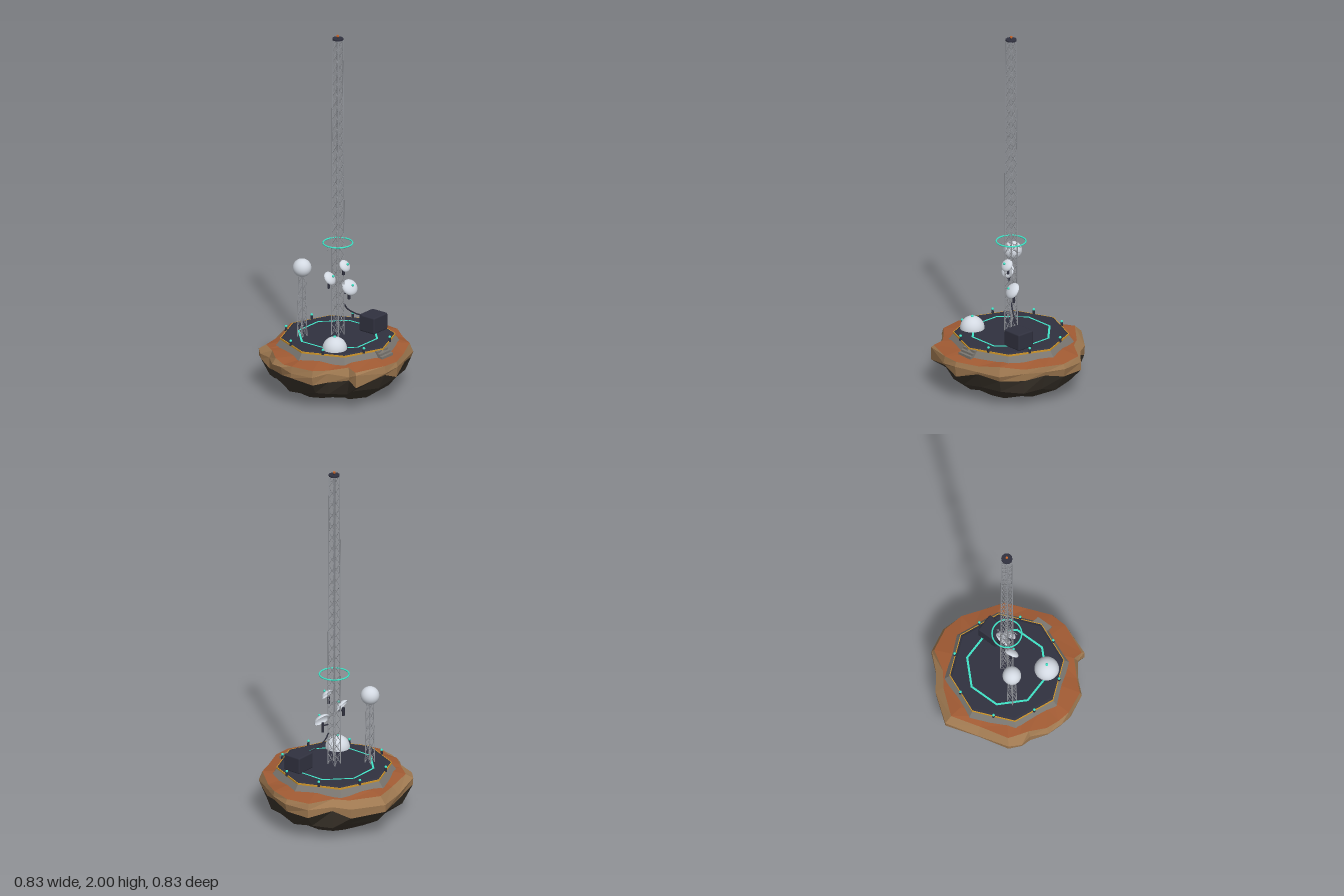
import * as THREE from 'three';
import { mergeGeometries, toCreasedNormals } from 'three/addons/utils/BufferGeometryUtils.js';
import { RoundedBoxGeometry } from 'three/addons/geometries/RoundedBoxGeometry.js';

const paint = (name, color, side = THREE.FrontSide) => {
  const m = new THREE.MeshStandardMaterial({ color, side });
  m.name = name;
  return m;
};
const V = (x, y, z) => new THREE.Vector3(x, y, z);

export function createModel() {
  const rust = paint('rust soil', 0xa05a33);
  const tan = paint('tan rock', 0x9e7850);
  const rock = paint('dark rock', 0x3b342b);
  const concrete = paint('concrete', 0x7b7771);
  const dark = paint('dark deck', 0x30313f);
  const yellow = paint('yellow trim', 0xd0962a);
  const teal = paint('teal light', 0x3fe3c6);
  const white = paint('white shell', 0xd3d9e2, THREE.DoubleSide);
  const steel = paint('steel', 0x96999f);
  const orange = paint('orange beacon', 0xd0692c);

  const model = new THREE.Group();
  const station = new THREE.Group();
  station.name = 'station';
  station.position.set(-0.005, 0, 0.005);
  model.add(station);

  const add = (name, geo, mat, x = 0, y = 0, z = 0, parent = station) => {
    const mesh = new THREE.Mesh(geo, mat);
    mesh.name = name;
    mesh.position.set(x, y, z);
    parent.add(mesh);
    return mesh;
  };

  // Floating rock: one outline scaled into faceted rings
  let seed = 11;
  const noise = () => {
    seed = (seed * 16807) % 2147483647;
    return (seed / 2147483647) * 2 - 1;
  };
  const outline = [
    [0.086, -0.42], [0.236, -0.307], [0.293, -0.224], [0.39, -0.135], [0.414, 0], [0.38, 0.11],
    [0.318, 0.204], [0.244, 0.32], [0.12, 0.365], [-0.005, 0.412], [-0.1, 0.407], [-0.27, 0.34],
    [-0.264, 0.289], [-0.334, 0.2], [-0.4, 0.144], [-0.418, 0.015], [-0.416, -0.057],
    [-0.39, -0.135], [-0.32, -0.21], [-0.316, -0.276], [-0.264, -0.327], [-0.09, -0.37],
  ];
  // height, scale, radial noise, height noise
  const levels = [
    [0.252, 0, 0, 0], [0.252, 0.74, 0, 0], [0.236, 0.965, 0.02, 0.012], [0.205, 1, 0, 0.015],
    [0.165, 0.985, 0.02, 0.022], [0.08, 0.85, 0.04, 0.02], [0.018, 0.6, 0.03, 0.008],
    [0, 0.4, 0.03, 0], [0, 0, 0, 0],
  ];
  const rings = levels.map(([y, f, rn, yn], k) => outline.map(([x, z]) => {
    let s = f + noise() * rn;
    // the soil draws back along the rear edge
    if (k === 2 && (z < -0.26 || (x > 0.2 && z < -0.2))) s -= 0.08;
    // lower rings even out towards a round belly
    const r = Math.hypot(x, z);
    if (k > 4) s *= THREE.MathUtils.lerp(1, 0.41 / r, 0.6);
    return [x * s, y + noise() * yn, z * s];
  }));
  const band = (name, mat, from, to) => {
    const p = [];
    for (let k = from; k < to; k++) {
      for (let i = 0; i < outline.length; i++) {
        const j = (i + 1) % outline.length;
        const a = rings[k], b = rings[k + 1];
        p.push(...a[i], ...a[j], ...b[j], ...a[i], ...b[j], ...b[i]);
      }
    }
    const geo = new THREE.BufferGeometry();
    geo.setAttribute('position', new THREE.Float32BufferAttribute(p, 3));
    geo.computeVertexNormals();
    add(name, geo, mat, 0, 0, 0, model);
  };
  band('rockTop', rust, 0, 2);
  band('rockRim', tan, 2, 4);
  band('rockBelly', rock, 4, 8);

  // Octagonal platform
  const slab = (name, mat, rTop, rBottom, y0, y1) => add(name, toCreasedNormals(
    new THREE.CylinderGeometry(rTop, rBottom, y1 - y0, 8), 0.1), mat, 0, (y0 + y1) / 2, 0);
  slab('foundation', concrete, 0.308, 0.335, 0.243, 0.279);
  slab('platformTrim', yellow, 0.309, 0.309, 0.279, 0.288);
  slab('deckBevel', dark, 0.291, 0.304, 0.288, 0.293);
  const marking = new THREE.RingGeometry(0.212, 0.224, 8, 1, Math.PI / 8).rotateX(-Math.PI / 2);
  add('deckMarking', marking, teal, 0, 0.2945, 0);

  // Front steps
  for (let i = 0; i < 3; i++) {
    const h = 0.015 + i * 0.012, front = 0.338 - i * 0.016;
    add('step', new THREE.BoxGeometry(0.092, h, front - 0.28), concrete, 0, 0.243 + h / 2, (front + 0.28) / 2);
  }

  // Edge lamps
  for (let i = 0; i < 8; i++) {
    const a = (i + 0.5) * Math.PI / 4, x = Math.sin(a) * 0.287, z = Math.cos(a) * 0.287;
    add('lampPost', new THREE.CylinderGeometry(0.006, 0.007, 0.026, 8), dark, x, 0.297, z);
    add('lamp', new THREE.SphereGeometry(0.0075, 12, 8), teal, x, 0.311, z);
  }

  // Lattice towers
  const strut = (a, b, r, sides = 4) => {
    const d = b.clone().sub(a);
    const q = new THREE.Quaternion().setFromUnitVectors(V(0, 1, 0), d.clone().normalize());
    return new THREE.CylinderGeometry(r, r, d.length(), sides)
      .applyQuaternion(q).translate((a.x + b.x) / 2, (a.y + b.y) / 2, (a.z + b.z) / 2);
  };
  const lattice = (name, x, z, y0, y1, w0, w1, bays, rLeg, rBrace) => {
    const parts = [];
    const corner = (i, t) => {
      const w = THREE.MathUtils.lerp(w0, w1, t);
      return V([1, 1, -1, -1][i % 4] * w, THREE.MathUtils.lerp(y0, y1, t), [1, -1, -1, 1][i % 4] * w);
    };
    for (let i = 0; i < 4; i++) {
      parts.push(strut(corner(i, 0), corner(i, 1), rLeg, 6));
      for (let k = 0; k < bays; k++) {
        const t = k / bays, u = (k + 1) / bays;
        parts.push(strut(corner(i, t), corner(i + 1, u), rBrace));
        parts.push(strut(corner(i + 1, t), corner(i, u), rBrace));
      }
    }
    add(name, mergeGeometries(parts), steel, x, 0, z);
  };
  lattice('mast', 0, 0, 0.293, 1.975, 0.024, 0.02, 26, 0.0032, 0.0013);
  lattice('radomeTower', -0.135, -0.135, 0.293, 0.65, 0.018, 0.013, 6, 0.0025, 0.0013);

  // Mast head
  add('mastPlate', toCreasedNormals(new THREE.CylinderGeometry(0.03, 0.03, 0.008, 12), 0.6), dark, 0, 1.979, 0);
  add('beaconPost', new THREE.CylinderGeometry(0.005, 0.005, 0.008, 8), dark, 0, 1.986, 0);
  add('beacon', new THREE.BoxGeometry(0.01, 0.01, 0.01), orange, 0, 1.995, 0);

  // Glowing halo around the mast
  add('haloRing', new THREE.TorusGeometry(0.079, 0.0043, 8, 64).rotateX(Math.PI / 2), teal, 0, 0.817, 0);

  // Comb antennas
  const combs = [
    [V(-0.055, 0.785, -0.03), V(0.043, 0.785, -0.03)],
    [V(-0.045, 0.8, 0.032), V(0.03, 0.8, 0.032)],
    [V(0.02, 0.77, 0), V(0.066, 0.77, 0)],
  ];
  for (const [a, b] of combs) {
    const parts = [strut(a, b, 0.0022)];
    for (let i = 0; i < 3; i++) {
      const c = a.clone().lerp(b, (i + 0.5) / 3), h = V(0, 0, 0.007);
      parts.push(strut(c.clone().sub(h), c.clone().add(h), 0.0013));
    }
    add('combAntenna', mergeGeometries(parts), steel);
  }

  // Tilted dishes with a feed light, a hanging motor and an arm to the mast
  const dishes = [[0.01, 0.695, 0.045, 0.035, 0], [-0.045, 0.628, -0.012, 0.039, 0.1], [0.052, 0.562, 0.046, 0.046, -0.25]];
  for (const [x, y, z, r, turn] of dishes) {
    const dish = new THREE.Group();
    dish.name = 'dish';
    dish.position.set(x, y, z);
    dish.rotation.set(0.92, turn, 0, 'YXZ');
    station.add(dish);
    const shell = new THREE.SphereGeometry(r, 28, 10, 0, Math.PI * 2, 0, Math.PI / 2).scale(1, 0.55, 1);
    add('dishShell', shell, white, 0, -r * 0.25, 0, dish);
    add('feedStem', new THREE.CylinderGeometry(0.002, 0.002, r * 0.3, 6), steel, 0, r * 0.4, 0, dish);
    add('dishFeed', new THREE.SphereGeometry(0.0065, 12, 8), teal, 0, r * 0.5, 0, dish);
    const back = V(x - Math.sin(turn) * 0.014, y, z - 0.014);
    add('dishMotor', new THREE.CylinderGeometry(0.007, 0.007, r * 1.2, 10), dark, back.x, y - r * 1.02, back.z);
    const hub = V(THREE.MathUtils.clamp(x, -0.022, 0.022), y - r * 0.8, THREE.MathUtils.clamp(z, -0.022, 0.022));
    add('dishArm', strut(V(back.x, hub.y, back.z), hub, 0.004, 8), dark);
  }

  // Radome ball and ground dome
  add('radome', new THREE.SphereGeometry(0.05, 32, 20), white, -0.135, 0.683, -0.136);
  add('groundDome', new THREE.SphereGeometry(0.066, 32, 12, 0, Math.PI * 2, 0, Math.PI / 2), white, -0.176, 0.295, 0.119);
  add('domeLight', new THREE.SphereGeometry(0.008, 12, 8), teal, -0.176, 0.362, 0.119);

  // Equipment cabinet and its cable to the mast
  add('cabinet', new RoundedBoxGeometry(0.118, 0.093, 0.105, 2, 0.008), dark, 0.172, 0.341, 0.104);
  const cable = new THREE.CatmullRomCurve3([
    V(0.022, 0.475, 0.02), V(0.045, 0.435, 0.03), V(0.085, 0.402, 0.052), V(0.125, 0.383, 0.075),
  ]);
  add('cable', new THREE.TubeGeometry(cable, 20, 0.004, 6), dark);

  return model;
}
